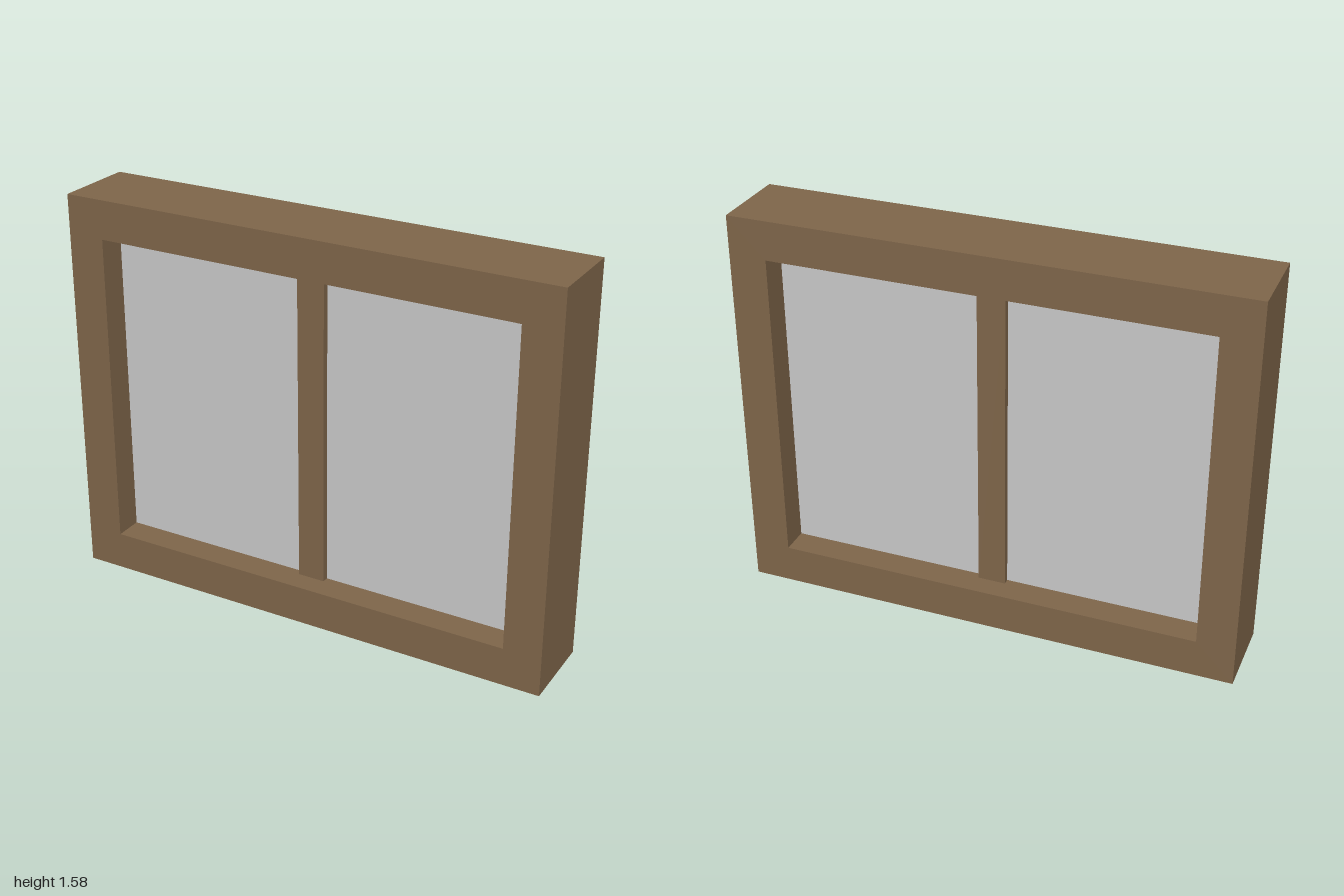
import * as THREE from 'three';

const HALF_W = 1, HEIGHT = 1.575, DEPTH = 0.33;
const OPEN_X = 0.85, OPEN_BOTTOM = 0.155, OPEN_TOP = 1.42;
const MULLION_W = 0.11, MULLION_D = 0.155, GLASS_D = 0.103;

export function createModel() {
  const wood = new THREE.MeshStandardMaterial({ name: 'brown wood', color: 0x7f664a });
  const glass = new THREE.MeshStandardMaterial({ name: 'pale grey glass', color: 0xcacaca });
  const group = new THREE.Group();
  group.name = 'window';

  const add = (name, geometry, material, x = 0, y = 0, z = 0) => {
    const mesh = new THREE.Mesh(geometry, material);
    mesh.name = name;
    mesh.position.set(x, y, z);
    group.add(mesh);
  };

  // Outer frame: a rectangle with one large opening
  const outline = new THREE.Shape()
    .moveTo(-HALF_W, 0).lineTo(HALF_W, 0).lineTo(HALF_W, HEIGHT).lineTo(-HALF_W, HEIGHT).closePath();
  outline.holes.push(new THREE.Path()
    .moveTo(-OPEN_X, OPEN_BOTTOM).lineTo(-OPEN_X, OPEN_TOP)
    .lineTo(OPEN_X, OPEN_TOP).lineTo(OPEN_X, OPEN_BOTTOM).closePath());
  add('frame', new THREE.ExtrudeGeometry(outline, { depth: DEPTH, bevelEnabled: false }), wood, 0, 0, -DEPTH / 2);

  // Centre mullion, set back from both faces of the frame
  const openH = OPEN_TOP - OPEN_BOTTOM, midY = (OPEN_TOP + OPEN_BOTTOM) / 2;
  add('mullion', new THREE.BoxGeometry(MULLION_W, openH, MULLION_D), wood, 0, midY);

  // One pane on each side of the mullion
  const paneW = OPEN_X - MULLION_W / 2;
  for (const [name, side] of [['leftPane', 1], ['rightPane', -1]]) {
    add(name, new THREE.BoxGeometry(paneW, openH, GLASS_D), glass, side * (MULLION_W / 2 + paneW / 2), midY);
  }
  return group;
}
